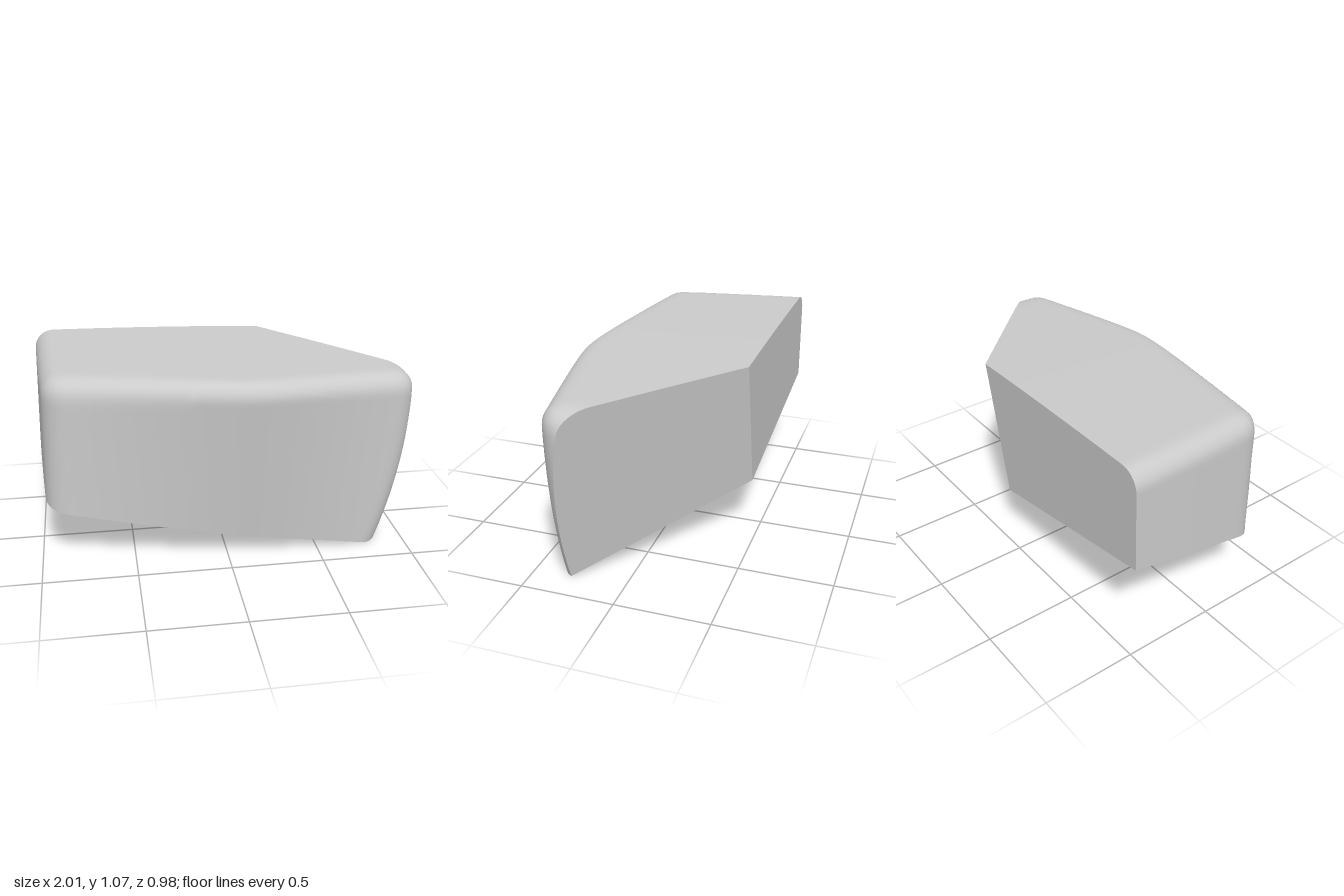
import * as THREE from 'three';
import { mergeVertices } from 'three/addons/utils/BufferGeometryUtils.js';

// Corner where the three flat cuts meet, and the edges leaving it
const CORNER = new THREE.Vector3(0.12, 0.32, -0.47);
const EDGES = [
  new THREE.Vector3(0.84, 0.0, 0.29),     // lower front right
  new THREE.Vector3(-1.0, 0.535, -0.485), // lower back left
  new THREE.Vector3(0.29, 1.03, -0.47),   // upper back right
].map((p) => p.sub(CORNER));
const STEPS = 44;
const RADIUS = 0.1;

// Rounded intersection of the front, top, left and right limits; negative inside
function body({ x, y, z }) {
  const dx = (x - 0.12) * (x > 0.12 ? 1.15 : 1);
  const crown = 1.08 - Math.sqrt(dx * dx + 0.02);
  const t = z + 0.485;
  const d = [
    z - (0.34 + (0.035 + 0.135 * y) * crown),
    y - (1.035 - 0.03 * x - 0.03 * z - 0.015 * x * x),
    -1 + 0.04 * t + 0.03 * t * t + 0.03 * (y - 0.53) - x,
    x - (0.855 + 0.35 * y - 0.2 * y * y),
  ];
  return Math.min(-RADIUS, Math.max(...d)) + Math.hypot(...d.map((v) => Math.max(v + RADIUS, 0)));
}

// Point of the rounded skin along a mix of the three edge directions
function skinPoint(weights) {
  const dir = new THREE.Vector3();
  EDGES.forEach((e, i) => dir.addScaledVector(e, weights[i]));
  const at = (s) => CORNER.clone().addScaledVector(dir, s);
  let lo = 0, hi = 2;
  for (let i = 0; i < 32; i++) {
    const mid = (lo + hi) / 2;
    if (body(at(mid)) < 0) lo = mid; else hi = mid;
  }
  return at(lo);
}

function mix(k, main, next, last) {
  const w = [0, 0, 0];
  w[k] = main;
  w[(k + 1) % 3] = next;
  w[(k + 2) % 3] = last;
  return w;
}

function makeMesh(name, positions, index) {
  let geometry = new THREE.BufferGeometry();
  geometry.setAttribute('position', new THREE.Float32BufferAttribute(positions, 3));
  geometry.setIndex(index);
  geometry = mergeVertices(geometry, 1e-5);
  geometry.computeVertexNormals();
  const mesh = new THREE.Mesh(geometry, new THREE.MeshStandardMaterial({ color: 0xcccccc }));
  mesh.name = name;
  return mesh;
}

// Front, top and left: three joined grids, smooth across their seams
function roundedSkin() {
  const positions = [], index = [];
  const row = STEPS + 1;
  for (let k = 0; k < 3; k++) {
    const base = positions.length / 3;
    for (let i = 0; i <= STEPS; i++) {
      for (let j = 0; j <= STEPS; j++) {
        positions.push(...skinPoint(mix(k, 1, i / STEPS, j / STEPS)).toArray());
        if (i === STEPS || j === STEPS) continue;
        const a = base + i * row + j;
        index.push(a, a + 1, a + row, a + 1, a + row + 1, a + row);
      }
    }
  }
  return makeMesh('roundedSkin', positions, index);
}

// Flat cut: a fan from the shared corner to the rim of the skin
function flatCut(name, k) {
  const positions = CORNER.toArray(), index = [];
  for (let i = 0; i <= 2 * STEPS; i++) {
    const t = i / STEPS;
    positions.push(...skinPoint(mix(k, 0, Math.min(1, 2 - t), Math.min(1, t))).toArray());
    if (i > 0) index.push(0, i, i + 1);
  }
  return makeMesh(name, positions, index);
}

export function createModel() {
  const group = new THREE.Group();
  group.name = 'cutBlock';
  group.add(
    roundedSkin(),
    flatCut('backCut', 0),
    flatCut('slantedSideCut', 1),
    flatCut('bottomCut', 2),
  );
  return group;
}
